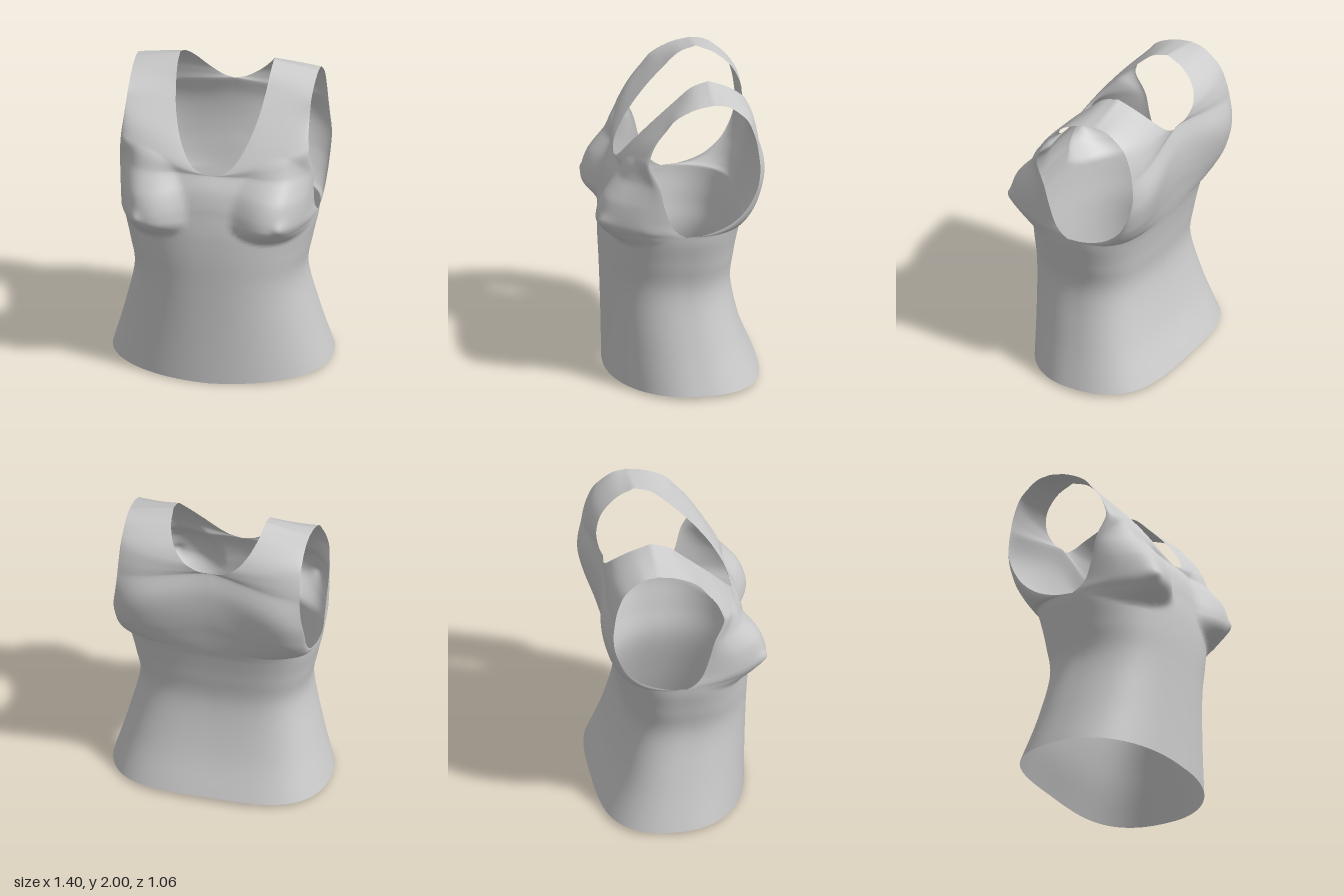
import * as THREE from 'three';
import { mergeGeometries, mergeVertices } from 'three/addons/utils/BufferGeometryUtils.js';

const ROWS = 16, SUB = 6, COLS = 36;

// Side seam from hem to armpit, shared by the front and back panels
const side = [[0.70, 0.02, -0.05], [0.615, 0.32, -0.03], [0.545, 0.64, 0],
  [0.575, 0.85, 0], [0.608, 1.0, 0], [0.618, 1.07, 0]];

// Each panel: centre line, then neck edge up to the shoulder; armhole edge from the armpit up
const front = {
  centre: [[0, 0, 0.45], [0, 0.3, 0.455], [0, 0.62, 0.465], [0, 0.85, 0.475], [0, 1.0, 0.475],
    [0, 1.08, 0.47], [0, 1.17, 0.46], [0, 1.25, 0.45], [0, 1.34, 0.425], [0, 1.42, 0.38]],
  neck: [[0, 1.42, 0.38], [0.08, 1.44, 0.375], [0.15, 1.5, 0.345], [0.215, 1.61, 0.27],
    [0.265, 1.75, 0.15], [0.288, 1.87, 0.03], [0.298, 1.96, -0.07], [0.3, 2, -0.18]],
  armhole: [[0.618, 1.07, 0], [0.617, 1.1, 0.05], [0.612, 1.16, 0.1], [0.615, 1.28, 0.14],
    [0.62, 1.42, 0.175], [0.605, 1.55, 0.235], [0.6, 1.62, 0.225], [0.592, 1.7, 0.19],
    [0.588, 1.78, 0.13], [0.585, 1.86, 0.06], [0.585, 1.92, -0.06], [0.585, 1.945, -0.18]],
  roundness: [0.95, 0.85], facing: 1, relief: chestRelief,
};
const back = {
  centre: [[0, 0.03, -0.515], [0, 0.3, -0.405], [0, 0.62, -0.335], [0, 0.85, -0.355], [0, 1.02, -0.385],
    [0, 1.1, -0.405], [0, 1.17, -0.42], [0, 1.25, -0.435], [0, 1.36, -0.455], [0, 1.48, -0.465],
    [0, 1.6, -0.46], [0, 1.72, -0.43]],
  neck: [[0, 1.72, -0.43], [0.08, 1.735, -0.445], [0.17, 1.79, -0.445], [0.24, 1.87, -0.4],
    [0.285, 1.95, -0.3], [0.3, 2, -0.18]],
  armhole: [[0.618, 1.07, 0], [0.618, 1.085, -0.13], [0.617, 1.14, -0.27], [0.618, 1.24, -0.38],
    [0.62, 1.38, -0.45], [0.605, 1.5, -0.47], [0.595, 1.62, -0.46], [0.59, 1.72, -0.44],
    [0.587, 1.82, -0.4], [0.585, 1.88, -0.345], [0.585, 1.93, -0.27], [0.585, 1.945, -0.18]],
  roundness: [0.75, 0.75], facing: -1, relief: backRelief,
};

// Bust: a soft mound, steeper below and outside, with a small tip
function chestRelief(x, y, u) {
  const dx = (x - 0.45) / (x > 0.45 ? 0.21 : 0.32);
  const dy = (y - 1.14) / (y > 1.14 ? 0.42 : 0.165);
  const mound = 0.155 * Math.max(0, 1 - dx * dx - dy * dy) ** 1.5;
  const tip = 0.025 * Math.exp(-((x - 0.47) ** 2 + (y - 1.15) ** 2) / 0.0016);
  return (mound + tip) * THREE.MathUtils.smoothstep(1 - u, 0, 0.2);
}

// Shoulder blades and the muscles beside the spine
function backRelief(x, y, u, r) {
  const height = 0.018 + 0.04 * Math.exp(-(((y - 1.5) / 0.25) ** 2));
  return -height * Math.sin(Math.PI * u) ** 2 * (1 - (r / ROWS) ** 4);
}

// Two smooth curves joined at a corner, read by row number
function path(lower, upper) {
  const [a, b] = [lower, upper].map(list =>
    new THREE.CatmullRomCurve3(list.map(p => new THREE.Vector3(...p)), false, 'catmullrom', 0.5));
  const n = lower.length - 1;
  return r => (r <= n ? a.getPoint(r / n) : b.getPoint((r - n) / (upper.length - 1)));
}

// Half a panel: each row is a superellipse arc from its inner edge to its outer edge
function halfPanel(panel, mirror) {
  const inner = path(panel.centre, panel.neck);
  const outer = path(side, panel.armhole);
  const positions = [], index = [];
  for (let j = 0; j <= ROWS * SUB; j++) {
    const r = j / SUB, a = inner(r), b = outer(r);
    const [hem, chest] = panel.roundness;
    const body = THREE.MathUtils.lerp(hem, chest, Math.min(1, r / 2));
    const power = THREE.MathUtils.lerp(body, 2, THREE.MathUtils.clamp((r - 8) / 8, 0, 1));
    for (let i = 0; i <= COLS; i++) {
      const u = i / COLS, angle = u * Math.PI / 2;
      const s = Math.sin(angle) ** power;
      const c = i === COLS ? 0 : Math.cos(angle) ** power;
      const x = a.x + (b.x - a.x) * s;
      const y = a.y + (b.y - a.y) * s;
      const z = b.z + (a.z - b.z) * c;
      const lift = i === COLS ? 0 : panel.relief(x, y, u, r);
      positions.push(x * mirror, y, z + lift);
    }
  }
  const w = COLS + 1;
  for (let j = 0; j < ROWS * SUB; j++) {
    for (let i = 0; i < COLS; i++) {
      const k = j * w + i;
      if (mirror * panel.facing > 0) index.push(k, k + 1, k + w + 1, k, k + w + 1, k + w);
      else index.push(k, k + w + 1, k + 1, k, k + w, k + w + 1);
    }
  }
  const geometry = new THREE.BufferGeometry();
  geometry.setAttribute('position', new THREE.Float32BufferAttribute(positions, 3));
  geometry.setIndex(index);
  return geometry;
}

export function createModel() {
  const group = new THREE.Group();
  group.name = 'sleevelessTop';

  // Four half panels welded into one smooth open garment
  const halves = [front, back].flatMap(panel => [1, -1].map(m => halfPanel(panel, m)));
  const geometry = mergeVertices(mergeGeometries(halves), 1e-4);
  geometry.computeVertexNormals();

  const garment = new THREE.Mesh(geometry,
    new THREE.MeshStandardMaterial({ color: 0xcccccc, side: THREE.DoubleSide }));
  garment.name = 'garment';
  group.add(garment);
  return group;
}
